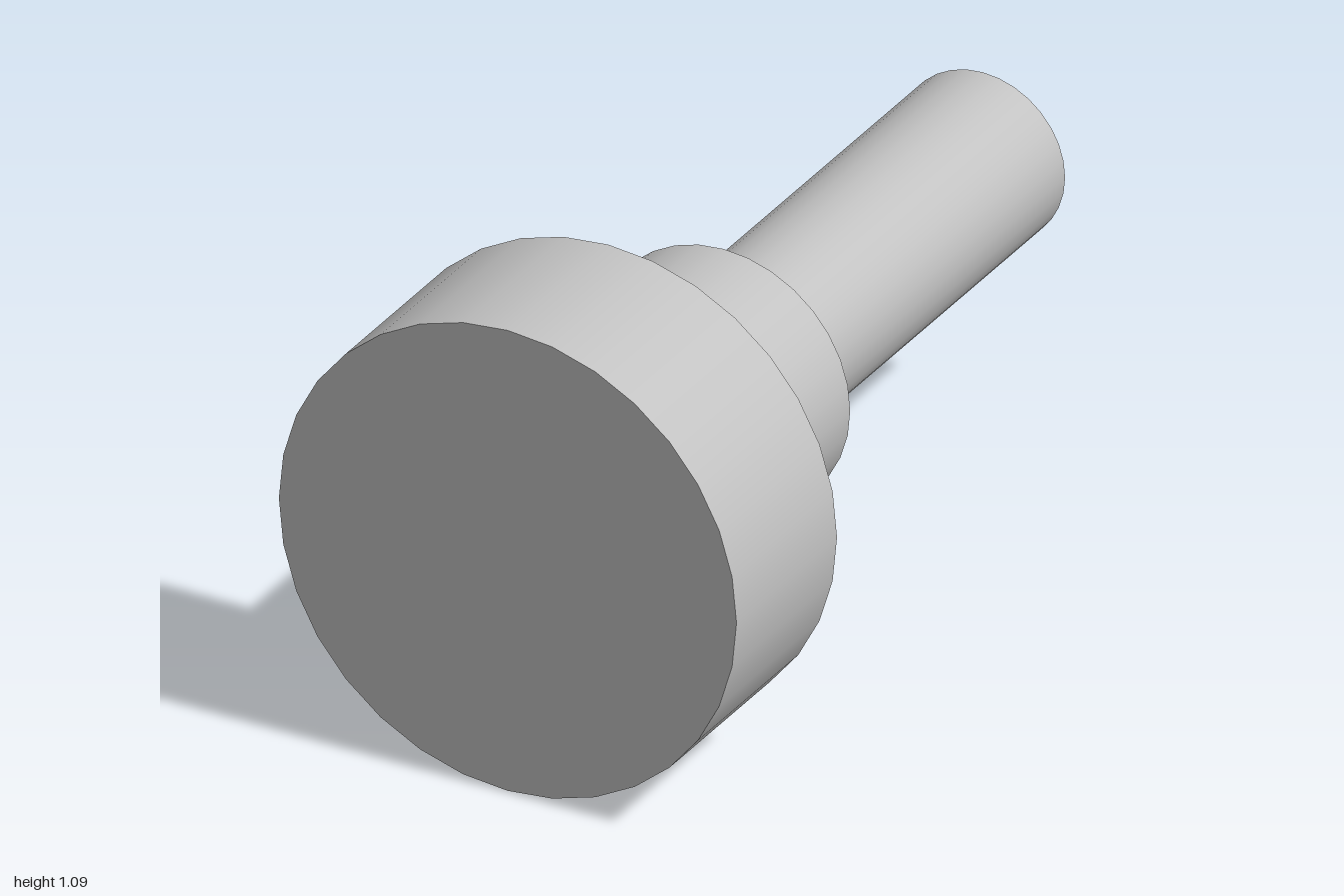
import * as THREE from 'three';

const AXIS_Y = 0.545;

export function createModel() {
  const group = new THREE.Group();
  group.name = 'steppedPin';

  const grey = new THREE.MeshStandardMaterial({ color: 0xc2c2c2 });
  grey.name = 'plain grey';

  // A solid round section lying along z, from zBack to zFront
  function addSection(name, radius, zBack, zFront) {
    const geometry = new THREE.CylinderGeometry(radius, radius, zFront - zBack, 32);
    geometry.rotateX(Math.PI / 2);
    const mesh = new THREE.Mesh(geometry, grey);
    mesh.name = name;
    mesh.position.set(0, AXIS_Y, (zBack + zFront) / 2);
    group.add(mesh);
  }

  addSection('head', 0.545, 0.577, 1);
  addSection('collar', 0.302, 0.092, 0.577);
  addSection('shaft', 0.196, -1, 0.092);

  return group;
}
